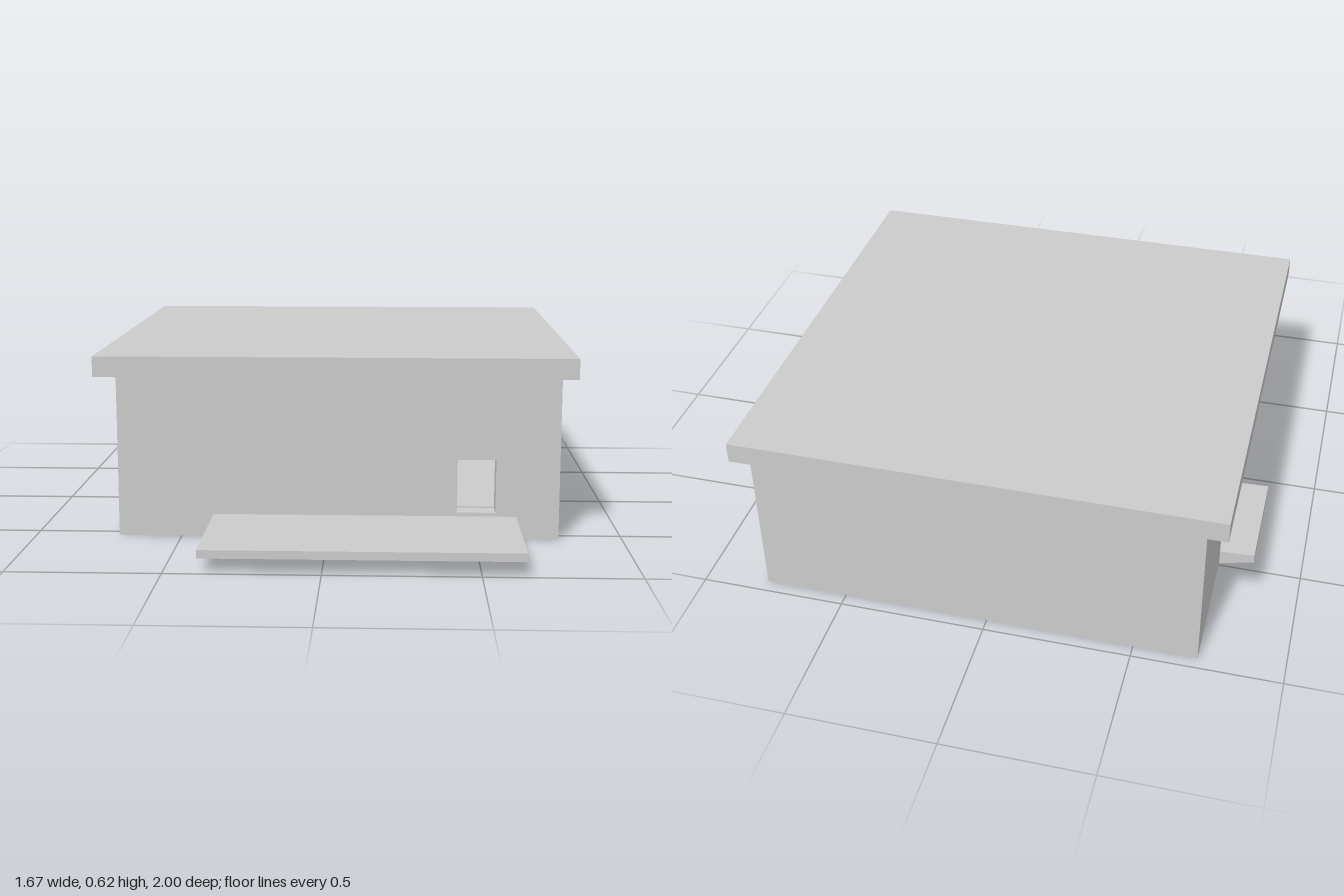
import * as THREE from 'three';

const material = new THREE.MeshStandardMaterial({ color: 0xcccccc, flatShading: true });

export function createModel() {
  const model = new THREE.Group();
  model.name = 'house';

  const add = (name, geometry) => {
    const mesh = new THREE.Mesh(geometry, material);
    mesh.name = name;
    model.add(mesh);
    return mesh;
  };
  // Box given by its limits on each axis
  const box = (name, x0, x1, y0, y1, z0, z1) =>
    add(name, new THREE.BoxGeometry(x1 - x0, y1 - y0, z1 - z0)
      .translate((x0 + x1) / 2, (y0 + y1) / 2, (z0 + z1) / 2));
  const polygon = (points) => new THREE.Shape(points.map(([x, y]) => new THREE.Vector2(x, y)));
  const rect = (x0, x1, y0, y1) => polygon([[x0, y0], [x1, y0], [x1, y1], [x0, y1]]);
  const extrude = (shape, depth) =>
    new THREE.ExtrudeGeometry(shape, { depth, bevelEnabled: false, curveSegments: 6 });

  // Outer limits of the walls
  const L = -0.715, R = 0.785, B = -0.955, F = 0.545, H = 0.555, T = 0.07;
  const doorBack = -0.49, doorFront = -0.10;

  // Roof slab and raised floor
  box('roof', -0.785, 0.835, H, 0.625, -1, 0.59);
  box('floor', L + T, R - T, 0, 0.095, B + T, F - T);

  // Front wall with a small window
  const front = rect(L, R, 0, H);
  front.holes.push(rect(0.44, 0.57, 0.09, 0.273));
  add('frontWall', extrude(front, T)).position.z = F - T;

  // Remaining walls, with a full height doorway on one side
  box('backWall', L, R, 0, H, B, B + T);
  box('leftWall', R - T, R, 0, H, B + T, F - T);
  box('rightWallBack', L, L + T, 0, H, B + T, doorBack);
  box('rightWallFront', L, L + T, 0, H, doorFront, F - T);

  // Door step with a curved rise up to the floor
  const step = new THREE.Shape();
  step.moveTo(-0.835, 0.03);
  step.lineTo(L, 0);
  step.lineTo(L + T, 0);
  step.lineTo(L + T, 0.095);
  step.quadraticCurveTo(L + T * 0.6, 0.055, L, 0.055);
  step.lineTo(-0.835, 0.06);
  add('doorStep', extrude(step, doorFront - doorBack)).position.z = doorBack;

  // Front platform, tapering underneath; profile drawn as (-z, y)
  const platform = polygon([[-1, 0.05], [-F, 0.025], [-F, 0.077], [-1, 0.077]]);
  const geometry = extrude(platform, 1.03).rotateY(Math.PI / 2);
  add('frontPlatform', geometry).position.x = -0.39;

  return model;
}
